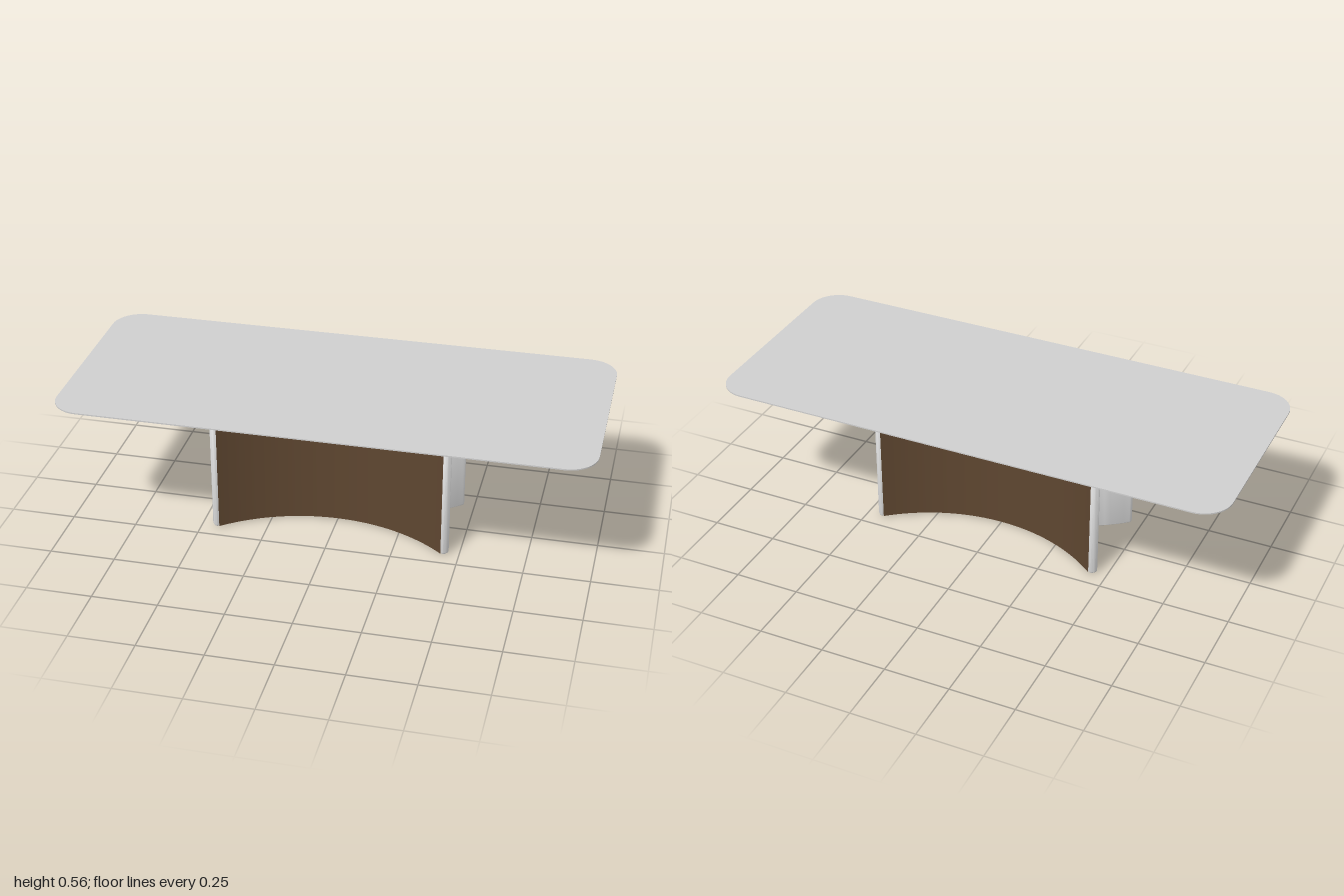
import * as THREE from 'three';
import { toCreasedNormals } from 'three/addons/utils/BufferGeometryUtils.js';

// Outline of a rounded rectangle, n segments per corner (n = 0: sharp)
function roundedRect(hx, hz, r, n) {
  const pts = [];
  [[1, 1], [-1, 1], [-1, -1], [1, -1]].forEach(([sx, sz], q) => {
    for (let i = 0; i <= n; i++) {
      const a = (q + (n ? i / n : 0.5)) * Math.PI / 2;
      const k = n ? r : 0;
      pts.push([sx * (hx - k) + k * Math.cos(a), sz * (hz - k) + k * Math.sin(a)]);
    }
  });
  return pts;
}

// Closed solid through horizontal rings, listed from bottom to top
function loft(levels) {
  const n = levels[0].ring.length, pos = [], idx = [];
  for (const { y, ring } of levels) for (const [x, z] of ring) pos.push(x, y, z);
  const last = (levels.length - 1) * n, bottom = levels.length * n, top = bottom + 1;
  pos.push(0, levels[0].y, 0, 0, levels[levels.length - 1].y, 0);
  for (let i = 0; i < n; i++) {
    const j = (i + 1) % n;
    for (let b = 0; b < last; b += n) {
      idx.push(b + i, b + n + i, b + j, b + j, b + n + i, b + n + j);
    }
    idx.push(bottom, i, j, top, last + j, last + i);
  }
  const g = new THREE.BufferGeometry();
  g.setAttribute('position', new THREE.Float32BufferAttribute(pos, 3));
  g.setIndex(idx);
  return toCreasedNormals(g, 0.2);
}

const R = 0.705, THICK = 0.035, HALF = 0.72, HEIGHT = 0.51;

// Curved leg panel with softened edges, bent about an upright axis
function panelGeometry() {
  const mid = R - THICK / 2, bevel = 0.01;
  const flat = roundedRect(mid * HALF, THICK / 2, 0.013, 4);
  const pts = [];
  flat.forEach(([s, d], i) => {
    const [s2, d2] = flat[(i + 1) % flat.length];
    const steps = Math.abs(s2 - s) > 0.1 ? 40 : 1;
    for (let k = 0; k < steps; k++) {
      const a = (s + (s2 - s) * k / steps) / mid;
      const r = mid + d + (d2 - d) * k / steps;
      pts.push(new THREE.Vector2(Math.sin(a) * r, R - Math.cos(a) * r));
    }
  });
  const g = new THREE.ExtrudeGeometry(new THREE.Shape(pts), {
    depth: HEIGHT - 2 * bevel, bevelEnabled: true, bevelThickness: bevel,
    bevelSize: bevel, bevelOffset: -bevel, bevelSegments: 4,
  });
  g.translate(0, 0, bevel);
  g.rotateX(-Math.PI / 2);
  return toCreasedNormals(g, 0.6);
}

export function createModel() {
  const material = (name, color, side = THREE.FrontSide) => {
    const m = new THREE.MeshStandardMaterial({ color, side });
    m.name = name;
    return m;
  };
  const topGrey = material('topGrey', 0xcfcfcf);
  const paleGrey = material('paleGrey', 0xe6e6e6);
  const brown = material('brown', 0x5e4630, THREE.DoubleSide);

  const model = new THREE.Group();
  model.name = 'table';
  const add = (parent, name, geometry, mat) => {
    const mesh = new THREE.Mesh(geometry, mat);
    mesh.name = name;
    parent.add(mesh);
    return mesh;
  };

  // Tabletop: thin upright rim, wide chamfer below
  add(model, 'tabletop', loft([
    { y: 0.535, ring: roundedRect(0.9, 0.325, 0.01, 12) },
    { y: 0.56, ring: roundedRect(1, 0.425, 0.11, 12) },
    { y: 0.565, ring: roundedRect(1, 0.425, 0.11, 12) },
  ]), topGrey);

  // Mounting plate under the top, with sloping sides
  add(model, 'mountingPlate', loft([
    { y: HEIGHT, ring: roundedRect(0.5, 0.198, 0, 0) },
    { y: 0.535, ring: roundedRect(0.525, 0.223, 0, 0) },
  ]), paleGrey);

  // Two curved legs back to back, hollow sides faced in brown
  const panel = panelGeometry();
  const facing = new THREE.CylinderGeometry(R - THICK - 0.001, R - THICK - 0.001,
    HEIGHT - 0.006, 40, 1, true, -0.7, 1.4);
  facing.translate(0, HEIGHT / 2, -R);
  for (const [name, turn] of [['backLeg', 0], ['frontLeg', Math.PI]]) {
    const leg = new THREE.Group();
    leg.name = name;
    leg.rotation.y = turn;
    add(leg, name + 'Panel', panel, paleGrey);
    add(leg, name + 'Facing', facing, brown);
    model.add(leg);
  }
  return model;
}
